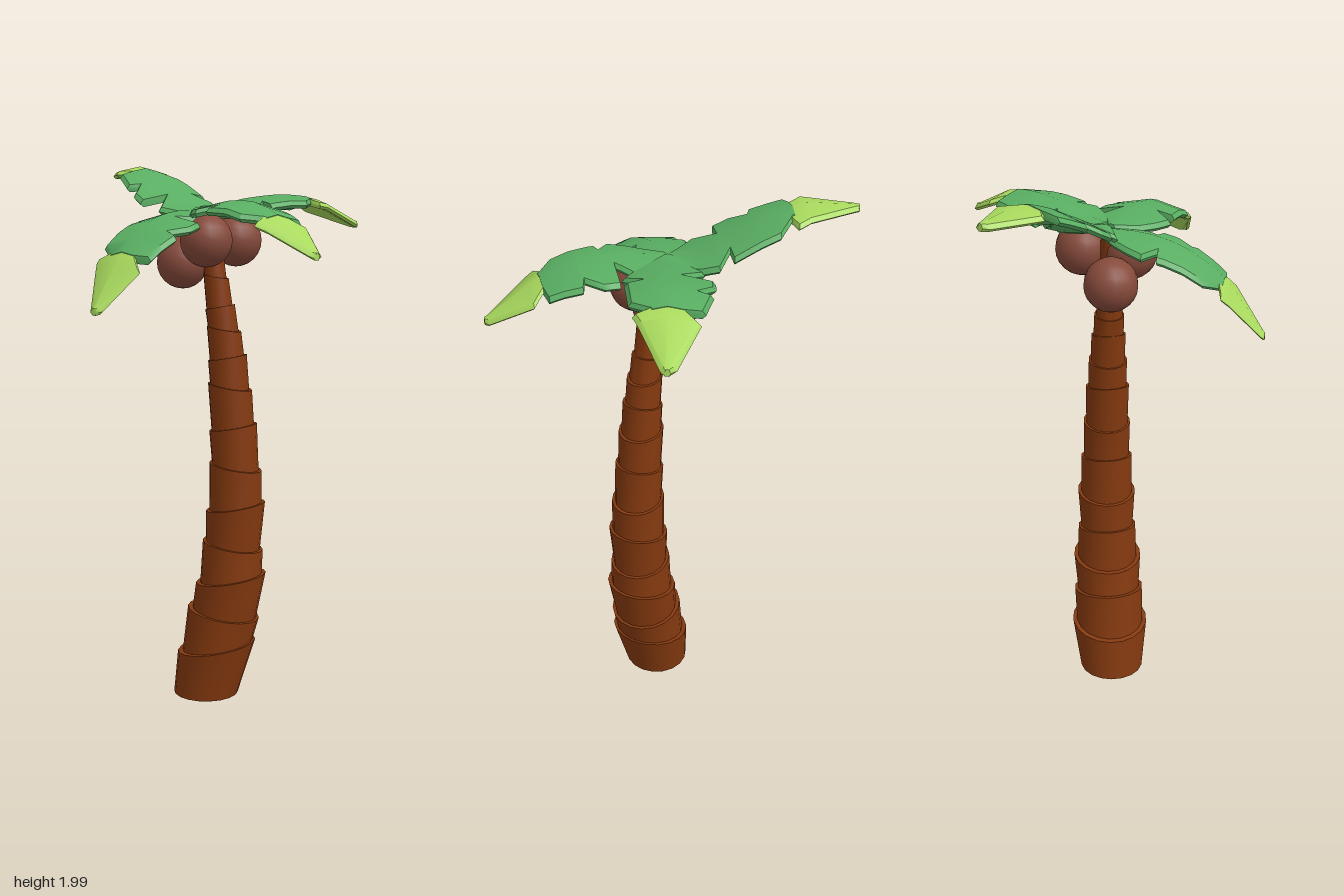
import * as THREE from 'three';
import { toCreasedNormals } from 'three/addons/utils/BufferGeometryUtils.js';

const material = (name, color) => {
  const m = new THREE.MeshStandardMaterial({ color });
  m.name = name;
  return m;
};

// Tapered trunk section between two tilted rings { x, y, r, tilt }
function ringSection(lower, upper) {
  const geo = new THREE.CylinderGeometry(1, 1, 1, 18, 1);
  const p = geo.attributes.position;
  for (let i = 0; i < p.count; i++) {
    const x = p.getX(i), z = p.getZ(i);
    const ring = p.getY(i) > 0 ? upper : lower;
    p.setXYZ(i, ring.x + x * ring.r, ring.y + x * ring.tilt, z * ring.r);
  }
  return toCreasedNormals(geo, 0.7);
}

// Linear lookup in a list of [u, v] pairs, clamped at both ends
function lookup(list, u) {
  if (u <= list[0][0]) return list[0][1];
  for (let i = 1; i < list.length; i++) {
    const [u0, v0] = list[i - 1], [u1, v1] = list[i];
    if (u <= u1) return v0 + (v1 - v0) * (u - u0) / (u1 - u0);
  }
  return list[list.length - 1][1];
}

// Shared blade edges: [distance along the spine, offset across it]
const LEAF_EDGES = [
  [[-0.03, 0.02], [0.03, 0.085], [0.085, 0.125], [0.14, 0.15], [0.185, 0.085], [0.19, 0.14],
    [0.345, 0.124], [0.395, 0.06]],
  [[-0.03, -0.02], [0.03, -0.085], [0.085, -0.125], [0.159, -0.055], [0.163, -0.158],
    [0.216, -0.157], [0.272, -0.105], [0.285, -0.148], [0.393, -0.12], [0.403, -0.062]],
];
const TIP_EDGES = [
  [[0.388, 0.055], [0.408, 0.11], [0.625, 0.02], [0.63, 0.01]],
  [[0.388, -0.055], [0.41, -0.07], [0.45, -0.105], [0.615, -0.03], [0.63, -0.01]],
];
const TIP_START = 0.4, FULL_LENGTH = 0.63;

// Bevelled, ridged slab between two edges, following the frond's curved spine
function bladeGeometry({ base: [bx, bz], tip: [tx, tz], heights }, edges, thick) {
  const length = Math.hypot(tx - bx, tz - bz);
  const cx = (tx - bx) / length, cz = (tz - bz) / length;
  const spine = new THREE.SplineCurve(heights.map((h, i) => new THREE.Vector2(i, h)));
  const stations = [...new Set(edges.flat().map((e) => e[0]))].sort((a, b) => a - b);

  const pos = [], index = [], n = 8;
  for (const s of stations) {
    // Drooping tips look shorter from above
    const u = s <= TIP_START ? s
      : TIP_START + (s - TIP_START) * (length - TIP_START) / (FULL_LENGTH - TIP_START);
    const y = spine.getPoint(THREE.MathUtils.clamp(u / length, 0, 1)).y;
    const a = lookup(edges[0], s), b = lookup(edges[1], s);
    const ai = a - Math.min(0.012, a / 2), bi = b + Math.min(0.012, -b / 2);
    const loop = [[a, 0], [ai, thick], [0, thick], [bi, thick],
      [b, 0], [bi, -thick], [0, -thick], [ai, -thick]];
    for (const [v, h] of loop) {
      pos.push(bx + u * cx - v * cz, y + h - 0.22 * Math.abs(v), bz + u * cz + v * cx);
    }
  }
  for (let s = 0; s < stations.length - 1; s++) {
    for (let i = 0; i < n; i++) {
      const a = s * n + i, a2 = s * n + (i + 1) % n;
      index.push(a, a + n, a2, a2, a + n, a2 + n);
    }
  }
  const end = (stations.length - 1) * n;
  for (let i = 1; i < n - 1; i++) {
    index.push(0, i, i + 1, end, end + i + 1, end + i);
  }
  const geo = new THREE.BufferGeometry();
  geo.setAttribute('position', new THREE.Float32BufferAttribute(pos, 3));
  geo.setIndex(index);
  return toCreasedNormals(geo, 0.6);
}

// Each frond: base and tip in plan [x, z], and evenly spaced spine heights
const FRONDS = [
  { name: 'backRightFrond', base: [-0.01, -0.045], tip: [0.49, -0.42],
    heights: [1.82, 1.85, 1.865, 1.845, 1.77] },
  { name: 'backLeftFrond', base: [-0.04, -0.04], tip: [-0.487, -0.49],
    heights: [1.81, 1.875, 1.945, 1.985, 1.965] },
  { name: 'frontRightFrond', base: [-0.02, 0.008], tip: [0.455, 0.37],
    heights: [1.815, 1.835, 1.825, 1.76, 1.66] },
  { name: 'frontLeftFrond', base: [-0.063, -0.018], tip: [-0.28, 0.485],
    heights: [1.805, 1.795, 1.75, 1.65, 1.475] },
];

// Upper rims of the trunk sections: centre x, centre y, radius
const RIMS = [
  [0.033, 0.188, 0.147], [0.06, 0.32, 0.134], [0.088, 0.455, 0.131], [0.095, 0.582, 0.112],
  [0.105, 0.73, 0.11], [0.105, 0.88, 0.097], [0.095, 1.028, 0.088], [0.083, 1.178, 0.081],
  [0.073, 1.285, 0.071], [0.06, 1.39, 0.063], [0.045, 1.47, 0.054], [0.03, 1.58, 0.046],
  [0.005, 1.77, 0.036],
];

export function createModel() {
  const bark = material('bark', 0x84390f);
  const shell = material('coconut shell', 0x864a3b);
  const green = material('leaf green', 0x59ae62);
  const lime = material('tip lime', 0xa9da5e);

  const model = new THREE.Group();
  model.name = 'palmTree';
  const add = (parent, name, geo, mat) => {
    const mesh = new THREE.Mesh(geo, mat);
    mesh.name = name;
    parent.add(mesh);
    return mesh;
  };

  // Leaning trunk of stacked flared sections, rims tilting to alternate sides
  const trunk = new THREE.Group();
  trunk.name = 'trunk';
  model.add(trunk);
  let lower = { x: -0.008, y: 0, r: 0.122, tilt: 0 };
  RIMS.forEach(([x, y, r], i) => {
    const upper = { x, y, r, tilt: r * (i % 2 ? -0.17 : 0.17) };
    add(trunk, `trunkSection${i + 1}`, ringSection(lower, upper), bark);
    lower = { x, y: y - 0.02, r: r * 0.89, tilt: upper.tilt * 0.89 };
  });

  // Coconuts
  [[0.01, 1.71, 0.07], [0.085, 1.71, -0.09], [-0.1, 1.63, -0.02]].forEach((c, i) => {
    add(model, `coconut${i + 1}`, new THREE.SphereGeometry(0.096, 16, 12), shell).position.set(...c);
  });

  // Fronds with lighter tips
  for (const frond of FRONDS) {
    const group = new THREE.Group();
    group.name = frond.name;
    add(group, 'leaf', bladeGeometry(frond, LEAF_EDGES, 0.014), green);
    add(group, 'leafTip', bladeGeometry(frond, TIP_EDGES, 0.012), lime);
    model.add(group);
  }
  return model;
}
